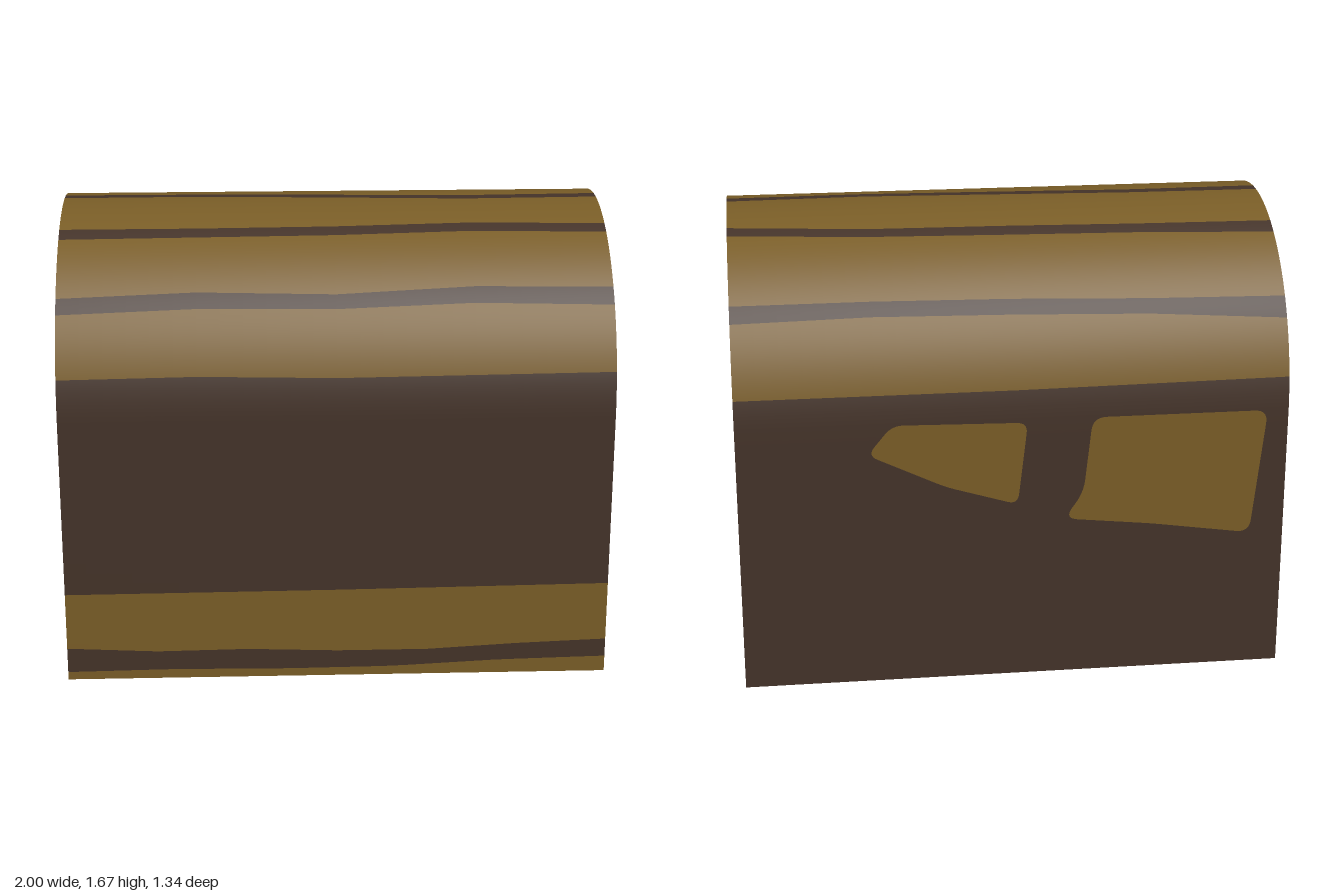
import * as THREE from 'three';

const R = 0.667;      // lid radius
const WALL = 1;       // wall height
const L = 0.996;      // half length of the body
const ARC = Math.PI * R;

const mat = (name, color) => {
  const m = new THREE.MeshStandardMaterial({ color });
  m.name = name;
  return m;
};

// Linear interpolation through evenly spaced values, t from 0 to 1
function sample(values, t) {
  const f = t * (values.length - 1);
  const i = Math.min(Math.floor(f), values.length - 2);
  return THREE.MathUtils.lerp(values[i], values[i + 1], f - i);
}

// Distance along the cross-section (front foot, over the lid, to back foot)
const fromY = y => (y <= WALL ? y : WALL + R * Math.asin((y - WALL) / R));
const fromZ = z => WALL + R * Math.acos(z / R);
const END = 2 * WALL + ARC;

function profile(s) {
  if (s < WALL) return { y: s, z: R, ny: 0, nz: 1 };
  if (s > WALL + ARC) return { y: END - s, z: -R, ny: 0, nz: -1 };
  const a = (s - WALL) / R;
  return { y: WALL + R * Math.sin(a), z: R * Math.cos(a), ny: Math.sin(a), nz: Math.cos(a) };
}

// Lengthwise band of the shell between two wavy edges
function bandGeometry(low, high) {
  const nx = 24, ns = 20, pos = [], nor = [], idx = [];
  for (let j = 0; j <= ns; j++) {
    for (let i = 0; i <= nx; i++) {
      const t = i / nx;
      const p = profile(THREE.MathUtils.lerp(sample(low, t), sample(high, t), j / ns));
      pos.push((2 * t - 1) * L, p.y, p.z);
      nor.push(0, p.ny, p.nz);
      if (i < nx && j < ns) {
        const a = j * (nx + 1) + i, b = a + nx + 1;
        idx.push(a, a + 1, b + 1, a, b + 1, b);
      }
    }
  }
  const g = new THREE.BufferGeometry();
  g.setAttribute('position', new THREE.Float32BufferAttribute(pos, 3));
  g.setAttribute('normal', new THREE.Float32BufferAttribute(nor, 3));
  g.setIndex(idx);
  return g;
}

// Flat polygon with rounded corners
function roundedShape(points, r) {
  const p = points.map(([x, y]) => new THREE.Vector2(x, y));
  const shape = new THREE.Shape();
  p.forEach((c, i) => {
    const toward = q => c.clone().add(q.clone().sub(c).setLength(Math.min(r, q.distanceTo(c) * 0.48)));
    const a = toward(p[(i + p.length - 1) % p.length]);
    const b = toward(p[(i + 1) % p.length]);
    if (i === 0) shape.moveTo(a.x, a.y); else shape.lineTo(a.x, a.y);
    shape.quadraticCurveTo(c.x, c.y, b.x, b.y);
  });
  return shape;
}

const polygon = pts => new THREE.Shape(pts.map(([x, y]) => new THREE.Vector2(x, y)));

// Strip between two wavy edges across a width
function stripShape(low, high, half) {
  const edge = v => v.map((y, i) => [half * (2 * i / (v.length - 1) - 1), y]);
  return polygon([...edge(low), ...edge(high).reverse()]);
}

// Plank on the arched end, clipped by the lid curve; edges listed bottom to top
function plankShape(left, right) {
  const rim = u => [u, WALL + Math.sqrt(Math.max(0, R * R - u * u))];
  const u0 = left.at(-1)[0], u1 = right.at(-1)[0], pts = [];
  const [lx, ly] = left[0], [rx, ry] = right[0];
  pts.push([lx, ly + 0.02], [lx + 0.02, ly], [rx - 0.02, ry], [rx, ry + 0.02]);
  pts.push(...right.slice(1, -1));
  for (let i = 0; i <= 10; i++) pts.push(rim(THREE.MathUtils.lerp(u1, u0, i / 10)));
  pts.push(...left.slice(1, -1).reverse());
  return polygon(pts);
}

export function createModel() {
  const model = new THREE.Group();
  model.name = 'archedChest';
  const wood = mat('brownWood', 0x785c26);
  const dark = mat('darkWood', 0x433228);
  const pale = mat('paleHandle', 0xe0dfde);

  const add = (name, geometry, material, parent = model) => {
    const m = new THREE.Mesh(geometry, material);
    m.name = name;
    parent.add(m);
    return m;
  };
  const plate = (name, shape, material, parent, depth) => {
    const m = add(name, new THREE.ShapeGeometry(shape, 8), material, parent);
    m.position.z = depth;
    return m;
  };

  // Shell: alternating planks and dark seams from front foot to back foot
  const edges = [
    [0, 0],
    [0.03, 0.035, 0.03, 0.033, 0.052, 0.06],
    [0.125, 0.108, 0.112, 0.1, 0.1, 0.118, 0.13],
    [0.34, 0.345, 0.355],
    [1.158, 1.165, 1.155, 1.16, 1.165].map(fromY),
    [1.37, 1.385, 1.38, 1.395, 1.385].map(fromY),
    [1.42, 1.435, 1.425, 1.445, 1.44].map(fromY),
    [0.32, 0.315, 0.31, 0.295, 0.305].map(fromZ),
    [0.27, 0.27, 0.265, 0.25, 0.26].map(fromZ),
    [0.01, 0.005, 0.033, 0.06, 0.05].map(fromZ),
    [-0.04, -0.035, -0.01, 0.015, 0].map(fromZ),
    [-0.275, -0.27, -0.26, -0.255, -0.225].map(fromZ),
    [-0.33, -0.313, -0.305, -0.295, -0.27].map(fromZ),
    [-0.535, -0.53, -0.52, -0.515, -0.515].map(fromZ),
    [-0.58, -0.563, -0.555, -0.55, -0.555].map(fromZ),
    [1.13, 1.12, 1.12].map(y => END - fromY(y)),
    [END, END],
  ];
  for (let i = 0; i < edges.length - 1; i++) {
    const seam = i % 2 === 1;
    add(seam ? 'darkBand' : 'woodPlank', bandGeometry(edges[i], edges[i + 1]), seam ? dark : wood);
  }

  // Underside: planks running front to back, split by dark seams
  const base = new THREE.Group();
  base.name = 'underside';
  base.rotation.x = Math.PI / 2;
  model.add(base);
  const cuts = [[-L, -L], [-0.5, -0.56], [-0.6, -0.66], [0.1, 0.05], [0, -0.05], [0.67, 0.61], [0.56, 0.5], [L, L]];
  const spans = [[0, 2, 0], [2, 1, 1], [1, 4, 0], [4, 3, 1], [3, 6, 0], [6, 5, 1], [5, 7, 0]];
  spans.forEach(([a, b, seam]) => {
    const [l, r] = [cuts[a], cuts[b]];
    const s = polygon([[l[0], -R], [r[0], -R], [r[1], R], [l[1], R]]);
    plate(seam ? 'baseSeam' : 'basePlank', s, seam ? dark : wood, base, 0);
  });

  // Ends: dark arch, upright planks and a pale grip
  const arch = new THREE.Shape();
  arch.moveTo(-R, 0);
  arch.lineTo(R, 0);
  arch.lineTo(R, WALL);
  arch.absarc(0, WALL, R, 0, Math.PI, false);
  const seams = [
    [[[-0.542, 1.13], [-0.542, 1.3], [-0.535, 1.4], [-0.51, 1]], [[-0.475, 1.13], [-0.475, 1.3], [-0.48, 1.42], [-0.485, 1]]],
    [[[-0.29, 1.13], [-0.3, 1.18], [-0.283, 1.3], [-0.32, 1.45], [-0.322, 1]], [[-0.215, 1.13], [-0.215, 1.18], [-0.22, 1.3], [-0.257, 1.45], [-0.243, 1]]],
    [[[-0.053, 1.13], [-0.053, 1.2], [-0.044, 1.4], [-0.07, 1]], [[0.027, 1.13], [0.027, 1.2], [0.027, 1.4], [0.005, 1]]],
    [[[0.19, 1.13], [0.19, 1.19], [0.21, 1.4], [0.222, 1]], [[0.272, 1.13], [0.27, 1.19], [0.28, 1.4], [0.297, 1]]],
    [[[0.48, 1.13], [0.487, 1.3], [0.475, 1.4], [0.473, 1]], [[0.557, 1.125], [0.55, 1.3], [0.538, 1]]],
  ];
  const rimLeft = [[-0.652, 1.135], [-0.652, 1]];
  const rimRight = [[0.652, 1.125], [0.652, 1]];
  const grips = {
    1: [[-0.26, 1], [-0.26, 1.1], [-0.2, 1.19], [0.2, 1.185], [0.27, 1.08], [0.27, 1.03], [0.21, 0.98]],
    [-1]: [[-0.34, 1], [-0.33, 1.09], [-0.24, 1.18], [0.24, 1.18], [0.29, 1.13], [0.29, 1.05], [0.22, 0.985]],
  };
  const ends = {};
  for (const side of [1, -1]) {
    const end = ends[side] = new THREE.Group();
    end.name = side > 0 ? 'leftEnd' : 'rightEnd';
    end.rotation.y = side * Math.PI / 2;
    model.add(end);
    add('endWall', new THREE.ShapeGeometry(arch, 40), dark, end).position.z = L;
    for (let i = 0; i <= seams.length; i++) {
      const l = i ? seams[i - 1][1] : rimLeft;
      const r = i < seams.length ? seams[i][0] : rimRight;
      plate('endPlank', plankShape(l, r), wood, end, 0.998);
    }
    plate('grip', roundedShape(grips[side], 0.07), pale, end, 1);
  }

  // Planks along the foot of one end
  plate('footPlank', stripShape([0, 0], [0.055, 0.05, 0.045, 0.04, 0.045, 0.072], R), wood, ends[1], 0.998);
  plate('lowerPlank', stripShape([0.13, 0.115, 0.112, 0.106, 0.108, 0.14], [0.352, 0.345, 0.337, 0.345, 0.35], R), wood, ends[1], 0.998);

  // Worn patches on the other end
  plate('wornPatch', roundedShape([[-0.03, 0.99], [-0.03, 0.68], [0.05, 0.68], [0.34, 0.91], [0.29, 1]], 0.04), wood, ends[-1], 0.998);
  plate('smallPatch', roundedShape([[-0.63, 0.68], [-0.62, 0.52], [-0.55, 0.53], [-0.44, 0.59], [-0.48, 0.64]], 0.04), wood, ends[-1], 0.998);

  // Worn patches on the back wall
  const back = new THREE.Group();
  back.name = 'backPatches';
  back.rotation.y = Math.PI;
  model.add(back);
  plate('taperedPatch', roundedShape([[-0.53, 0.9], [-0.25, 0.765], [0.01, 0.685], [0.045, 1], [-0.44, 1.01]], 0.04), wood, back, R + 0.002);
  plate('widePatch', roundedShape([[0.18, 0.62], [0.5, 0.585], [0.87, 0.53], [0.92, 1.01], [0.28, 1.01], [0.25, 0.72]], 0.05), wood, back, R + 0.002);

  return model;
}
